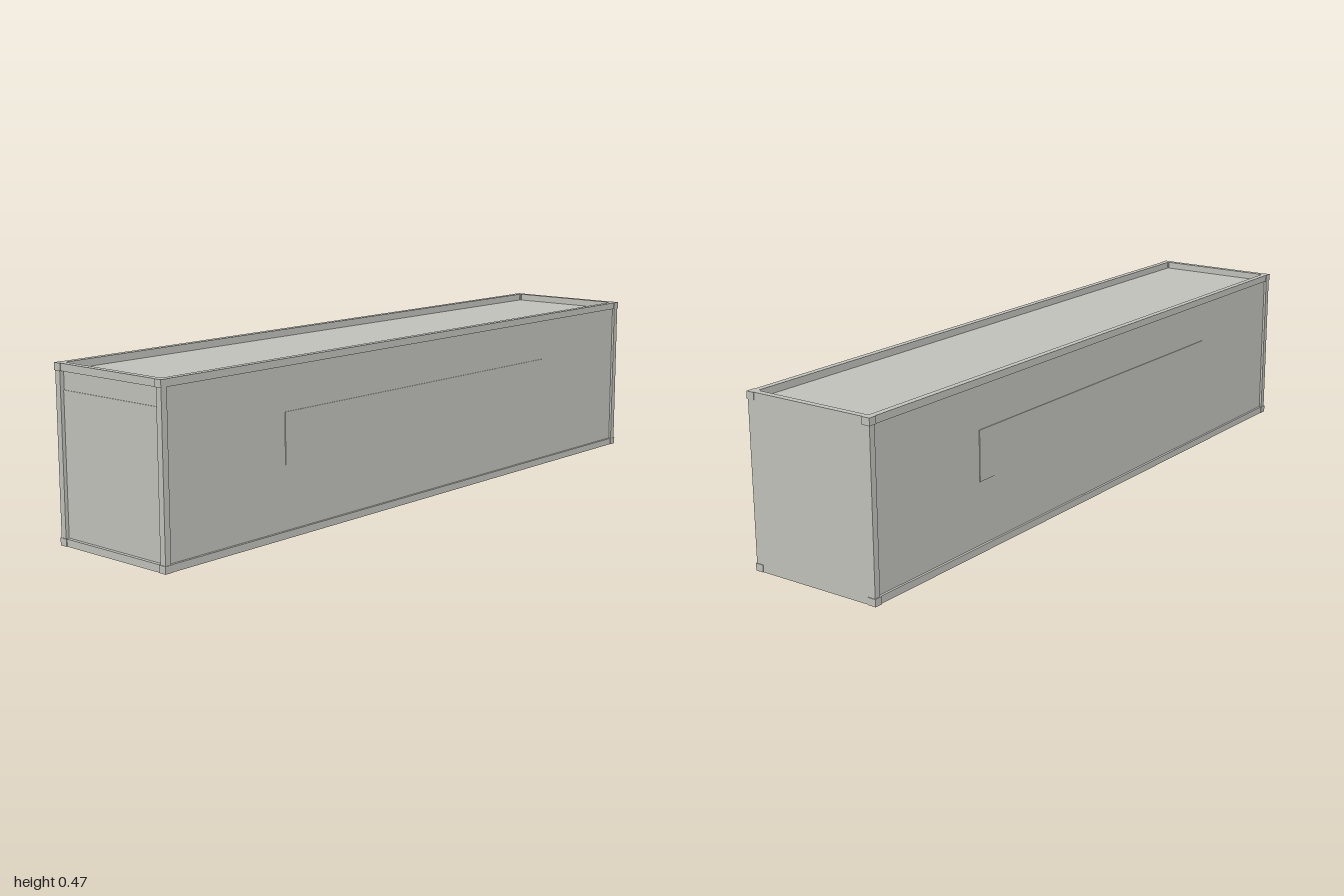
import * as THREE from 'three';

const L = 1, H = 0.475, W = 0.2;   // half length, height, half width
const BAR = 0.02;                  // frame bar thickness
const INSET = 0.002;               // bars sit just inside the corner blocks

export function createModel() {
  const model = new THREE.Group();
  const grey = new THREE.MeshStandardMaterial({ color: 0xc0c0ba });
  grey.name = 'warm grey';

  // Box given by its minimum and maximum corners
  const box = (name, x0, x1, y0, y1, z0, z1) => {
    const mesh = new THREE.Mesh(new THREE.BoxGeometry(x1 - x0, y1 - y0, z1 - z0), grey);
    mesh.position.set((x0 + x1) / 2, (y0 + y1) / 2, (z0 + z1) / 2);
    mesh.name = name;
    model.add(mesh);
  };
  // Box lying between depths a and b below the end at side s of an axis of half size h
  const span = (s, h, a, b) => (s > 0 ? [h - b, h - a] : [-h + a, -h + b]);

  const inX = L - BAR, inZ = W - BAR;
  for (const sz of [-1, 1]) {
    const barZ = span(sz, W, INSET, BAR);
    // Corner blocks, posts and end rails
    for (const sx of [-1, 1]) {
      const barX = span(sx, L, INSET, BAR);
      const blockX = span(sx, L, 0, BAR + 0.004), blockZ = span(sz, W, 0, BAR + 0.004);
      box('cornerBlockBottom', ...blockX, 0, BAR, ...blockZ);
      box('cornerBlockTop', ...blockX, H - BAR, H, ...blockZ);
      box('cornerPost', ...barX, BAR, H - BAR, ...barZ);
    }
    // Long rails
    box('longRailBottom', -inX, inX, 0, BAR, ...barZ);
    box('longRailTop', -inX, inX, H - BAR, H, ...barZ);
    // Recessed long wall with its thin rectangular plate
    box('longWall', -inX, inX, BAR, H - BAR, ...span(sz, W, 0.009, 0.014));
    box('sidePlate', -0.574, 0.574, 0.195, 0.335, ...span(sz, W, 0.007, 0.009));
  }
  for (const sx of [-1, 1]) {
    const barX = span(sx, L, INSET, BAR);
    box('endRailBottom', ...barX, 0, BAR, -inZ, inZ);
    box('endRailTop', ...barX, H - BAR, H, -inZ, inZ);
  }

  // Flush end wall on the left, recessed end wall with a lower plate on the right
  box('flushEndWall', ...span(1, L, INSET, 0.008), BAR, H - BAR, -inZ, inZ);
  box('recessedEndWall', ...span(-1, L, 0.014, 0.019), BAR, H - BAR, -inZ, inZ);
  box('endPlate', ...span(-1, L, 0.012, 0.014), BAR, 0.405, -inZ, inZ);

  // Sunken roof; the underside stays open
  box('roof', -inX, inX, H - BAR - 0.005, H - BAR, -W + 0.012, W - 0.012);

  return model;
}
